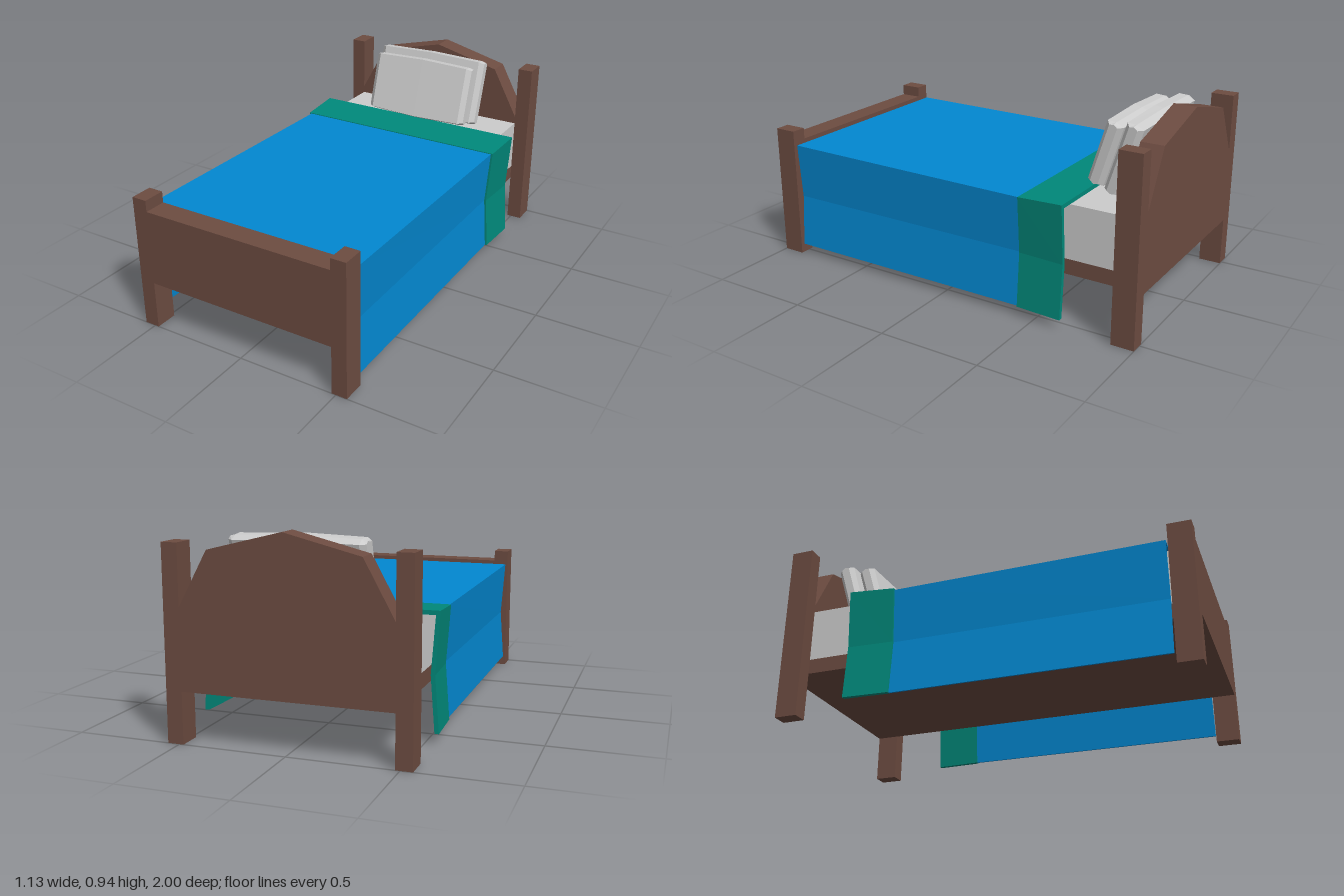
import * as THREE from 'three';

const wood = new THREE.MeshStandardMaterial({ color: 0x6d4c41, flatShading: true });
const blue = new THREE.MeshStandardMaterial({ color: 0x0288d1, flatShading: true });
const green = new THREE.MeshStandardMaterial({ color: 0x00897b, flatShading: true });
const grey = new THREE.MeshStandardMaterial({ color: 0xcccccc, flatShading: true });

function add(parent, name, geometry, material) {
  const mesh = new THREE.Mesh(geometry, material);
  mesh.name = name;
  parent.add(mesh);
  return mesh;
}

// Box given by its minimum and maximum corners
function box(parent, name, [x0, y0, z0], [x1, y1, z1], material) {
  const mesh = add(parent, name, new THREE.BoxGeometry(x1 - x0, y1 - y0, z1 - z0), material);
  mesh.position.set((x0 + x1) / 2, (y0 + y1) / 2, (z0 + z1) / 2);
  return mesh;
}

// Skin over closed sections with an even point count; caps pair points across the section
function loft(sections) {
  const n = sections[0].length, last = sections.length - 1, index = [];
  const quad = (a, b, c, d) => index.push(a, b, c, a, c, d);
  for (let k = 0; k < last; k++) {
    for (let i = 0; i < n; i++) {
      const j = (i + 1) % n;
      quad(k * n + i, k * n + j, (k + 1) * n + j, (k + 1) * n + i);
    }
  }
  for (let i = 0; i < n / 2 - 1; i++) {
    const e = last * n;
    quad(e + i, e + i + 1, e + n - 2 - i, e + n - 1 - i);
    quad(n - 1 - i, n - 2 - i, i + 1, i);
  }
  const g = new THREE.BufferGeometry();
  g.setAttribute('position', new THREE.Float32BufferAttribute(sections.flat(2), 3));
  g.setIndex(index);
  const flat = g.toNonIndexed();
  flat.computeVertexNormals();
  return flat;
}

// Draped cloth section: hangs down both sides and pinches in half way
function drape(z, x, top, pinch, t) {
  const side = [[x, 0.05], [x - pinch, 0.31], [x, top]];
  const inner = [[x - t, 0.05], [x - pinch - t, 0.31], [x - t, top - t]];
  const mirror = (pts) => pts.map(([px, py]) => [-px, py]).reverse();
  return [...side, ...mirror(side), ...inner.map(([px, py]) => [-px, py]), ...mirror(inner).map(([px, py]) => [-px, py])]
    .map(([px, py]) => [px, py, z]);
}

// Slim pillow, slightly fuller in the middle, with bevelled ends
function pillow(halfWidth, height) {
  const stations = [
    [-halfWidth, 0.02, -0.006], [-halfWidth + 0.025, 0.041, 0], [0, 0.045, 0.008],
    [halfWidth - 0.025, 0.041, 0], [halfWidth, 0.02, -0.006],
  ];
  return loft(stations.map(([x, t, grow]) => {
    const h = height / 2 + grow, r = h + 0.008;
    return [[x, r, 0], [x, h, t], [x, -h, t], [x, -r, 0], [x, -h, -t], [x, h, -t]];
  }));
}

export function createModel() {
  const bed = new THREE.Group();
  bed.name = 'bed';

  // Corner posts
  for (const [end, z0, height] of [['foot', 0.89, 0.66], ['head', -1, 0.88]]) {
    for (const [side, x0] of [['Left', 0.48], ['Right', -0.555]]) {
      box(bed, `${end}Post${side}`, [x0, 0, z0], [x0 + 0.075, height, z0 + 0.11], wood);
    }
  }

  // Footboard and peaked headboard
  box(bed, 'footboard', [-0.48, 0.237, 0.89], [0.48, 0.605, 1], wood);
  const outline = new THREE.Shape([
    [-0.48, 0.237], [0.48, 0.237], [0.48, 0.605], [0.343, 0.855],
    [0, 0.94], [-0.343, 0.855], [-0.48, 0.605],
  ].map(([x, y]) => new THREE.Vector2(x, y)));
  const headboard = add(bed, 'headboard',
    new THREE.ExtrudeGeometry(outline, { depth: 0.11, bevelEnabled: false }), wood);
  headboard.position.z = -1;

  // Base and mattress
  box(bed, 'base', [-0.48, 0.237, -0.89], [0.48, 0.31, 0.89], wood);
  box(bed, 'mattress', [-0.48, 0.31, -0.89], [0.48, 0.568, 0.89], grey);

  // Blanket and its turned-back end
  add(bed, 'blanket', loft([
    drape(-0.42, 0.545, 0.576, 0.02, 0.008),
    drape(0.88, 0.545, 0.587, 0.02, 0.008),
  ]), blue);
  add(bed, 'blanketFold', loft([
    drape(-0.645, 0.566, 0.592, 0.02, 0.02),
    drape(-0.42, 0.555, 0.58, 0.02, 0.02),
  ]), green);

  // Pillows leaning on the headboard
  for (const [name, halfWidth, height, y, z] of [
    ['frontPillow', 0.285, 0.295, 0.745, -0.693],
    ['backPillow', 0.31, 0.33, 0.74, -0.793],
  ]) {
    const mesh = add(bed, name, pillow(halfWidth, height), grey);
    mesh.position.set(0, y, z);
    mesh.rotation.x = -0.3;
  }
  return bed;
}
